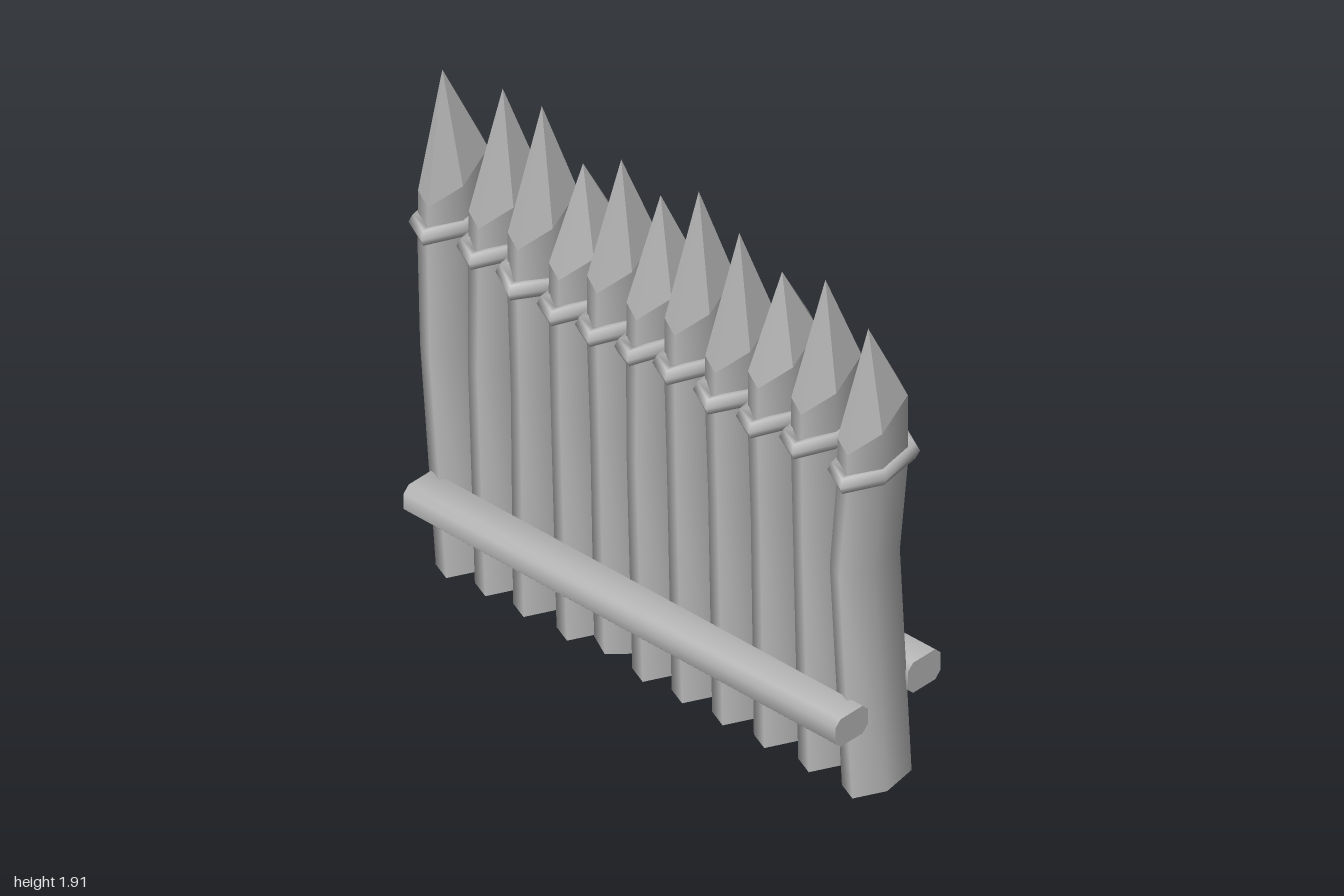
import * as THREE from 'three';

const wood = new THREE.MeshStandardMaterial({ color: 0xb8b8b8, side: THREE.DoubleSide });
wood.name = 'grey wood';

const SIDES = 6;
const TURN = 0.3; // each stake is turned slightly about its axis

// Smooth skin through equal-sized cross-sections
function loft(sections, closed = false) {
  const n = sections[0].length, m = sections.length, index = [];
  for (let i = 0; i < (closed ? m : m - 1); i++) {
    for (let j = 0; j < n; j++) {
      const a = i * n + j, b = i * n + (j + 1) % n;
      const c = ((i + 1) % m) * n + j, d = ((i + 1) % m) * n + (j + 1) % n;
      index.push(a, b, c, b, d, c);
    }
  }
  const g = new THREE.BufferGeometry().setFromPoints(sections.flat());
  g.setIndex(index);
  g.computeVertexNormals();
  return g;
}

// Flat facets from a loop of points to one apex
function fan(loop, apex) {
  const pts = loop.flatMap((p, j) => [p, loop[(j + 1) % loop.length], apex]);
  const g = new THREE.BufferGeometry().setFromPoints(pts);
  g.computeVertexNormals();
  return g;
}

function centre(loop) {
  return loop.reduce((s, p) => s.add(p), new THREE.Vector3()).divideScalar(loop.length);
}

function add(group, name, geometry) {
  const mesh = new THREE.Mesh(geometry, wood);
  mesh.name = name;
  group.add(mesh);
}

// Stretched hexagon; yAt gives the height of each corner
function hexagon(x, z, rx, rz, yAt) {
  return Array.from({ length: SIDES }, (_, k) => {
    const a = TURN + (k / SIDES) * Math.PI * 2;
    return new THREE.Vector3(x + rx * Math.sin(a), yAt(a), z + rz * Math.cos(a));
  });
}

function makeStake({ base, mid, top, tip, shoulder, band, tilt, lean = 0, tipZ = 0.01, broken }) {
  const stake = new THREE.Group();
  stake.name = 'stake';
  const rx = 0.077, rz = 0.147;

  // Shaft, bent a little at mid height, with a slanted shoulder
  const foot = hexagon(base, -0.02 + lean * 0.5, rx, rz * 0.97,
    a => (broken ? Math.max(0, 0.045 * Math.cos(a + 0.6)) : 0));
  const neck = hexagon(top, 0.005 + lean, rx * 0.97, rz, a => shoulder - 0.07 * Math.cos(a));
  add(stake, 'shaft', loft([
    foot,
    hexagon(mid, -0.005 + lean, rx * 0.96, rz, () => 0.85),
    hexagon(top, 0.005 + lean, rx, rz, () => 1.22),
    neck,
  ]));
  if (!broken) add(stake, 'foot', fan([...foot].reverse(), centre(foot)));

  // Sharpened point
  add(stake, 'point', fan(neck, new THREE.Vector3(top, tip, tipZ)));

  // Rope band around the stake
  const loops = Array.from({ length: SIDES }, (_, k) => {
    const a = TURN + (k / SIDES) * Math.PI * 2;
    return Array.from({ length: 6 }, (_, j) => {
      const t = (j / 6) * Math.PI * 2, out = 0.028 * Math.cos(t);
      return new THREE.Vector3(
        top + (0.07 + out) * Math.sin(a),
        band + tilt * Math.sin(a) - 0.033 * Math.sin(t),
        0.01 + lean * 0.5 + (0.166 + out) * Math.cos(a));
    });
  });
  add(stake, 'band', loft(loops, true));
  return stake;
}

// Chamfered beam along x; ends are [x, y]
function makeRail(name, ends, z, halfHeight) {
  const rail = new THREE.Group();
  rail.name = name;
  const w = 0.075, h = halfHeight, c = 0.024;
  const outline = [[w, h - c], [w, c - h], [w - c, -h], [c - w, -h],
    [-w, c - h], [-w, h - c], [c - w, h], [w - c, h]];
  const [start, end] = ends.map(([x, y]) =>
    outline.map(([dz, dy]) => new THREE.Vector3(x, y + dy, z + dz)));
  add(rail, 'beam', loft([start, end]));
  add(rail, 'beamEnd', fan([...start].reverse(), centre(start)));
  add(rail, 'beamEnd', fan(end, centre(end)));
  return rail;
}

export function createModel() {
  const model = new THREE.Group();
  model.name = 'palisade';

  // base x, mid x, top x, tip y, shoulder y, band y, band tilt
  const rows = [
    [-0.862, -0.903, -0.902, 1.91, 1.5, 1.33, -0.005],
    [-0.705, -0.72, -0.707, 1.895, 1.5, 1.325, -0.005],
    [-0.54, -0.535, -0.538, 1.91, 1.5, 1.295, -0.025],
    [-0.352, -0.362, -0.36, 1.775, 1.47, 1.275, 0],
    [-0.19, -0.192, -0.195, 1.87, 1.5, 1.275, 0],
    [-0.025, -0.035, -0.025, 1.815, 1.48, 1.28, 0.01],
    [0.145, 0.14, 0.14, 1.91, 1.5, 1.29, 0],
    [0.32, 0.318, 0.315, 1.835, 1.44, 1.265, -0.01],
    [0.5, 0.502, 0.5, 1.775, 1.47, 1.26, 0],
    [0.692, 0.685, 0.687, 1.835, 1.46, 1.27, 0],
    [0.89, 0.862, 0.905, 1.77, 1.42, 1.25, -0.008],
  ];
  rows.forEach(([base, mid, top, tip, shoulder, band, tilt], i) => {
    const data = { base, mid, top, tip, shoulder, band, tilt, broken: i === 4 };
    if (i === 0) Object.assign(data, { lean: 0.025, tipZ: 0.08 });
    if (i === 10) Object.assign(data, { lean: 0.02, tipZ: 0.045 });
    model.add(makeStake(data));
  });

  // Cross rails
  model.add(makeRail('frontRail', [[-0.91, 0.325], [0.955, 0.325]], 0.175, 0.053));
  model.add(makeRail('backRail', [[-0.93, 0.335], [0.94, 0.35]], -0.175, 0.058));
  return model;
}
